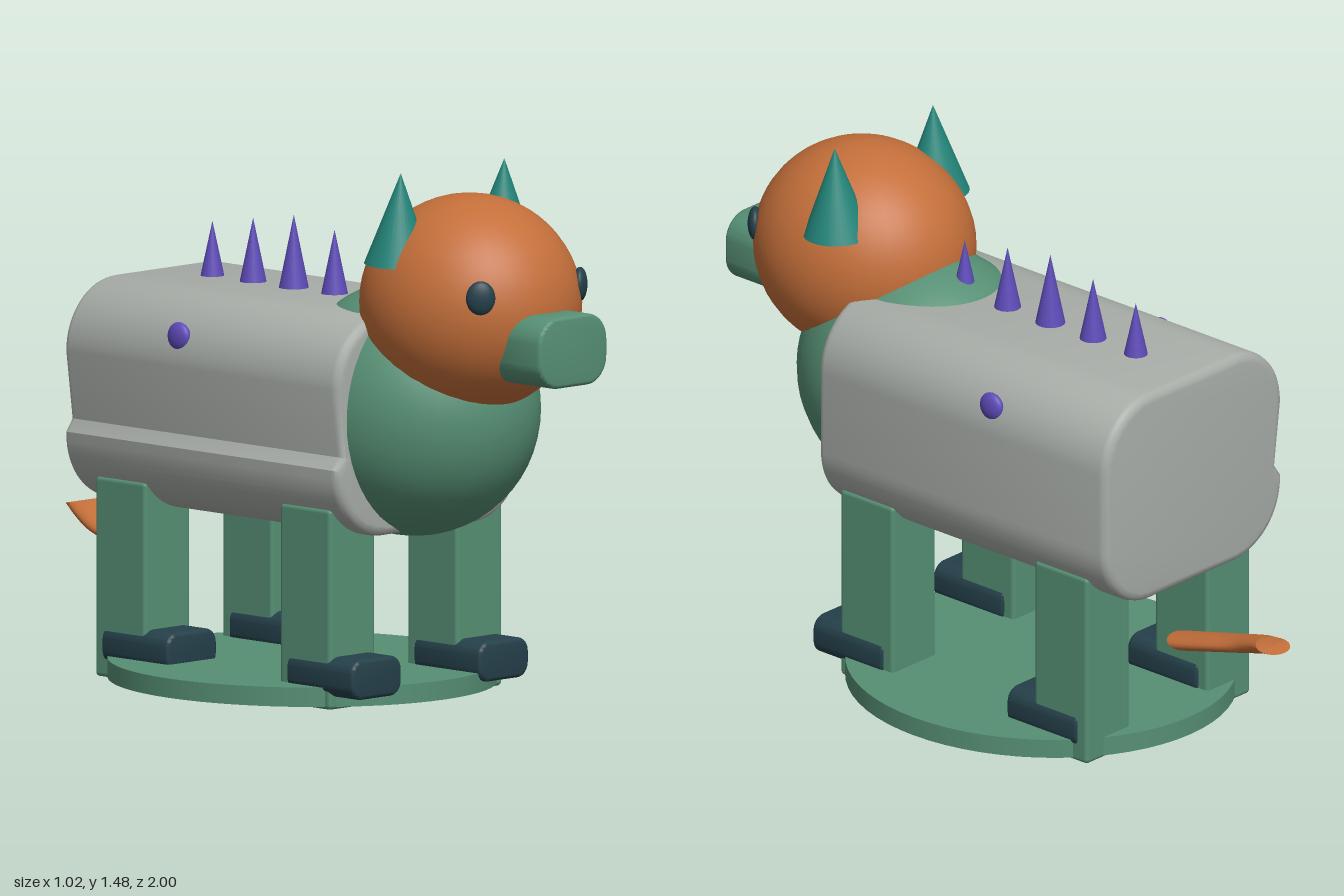
import * as THREE from 'three';
import { toCreasedNormals } from 'three/addons/utils/BufferGeometryUtils.js';
import { RoundedBoxGeometry } from 'three/addons/geometries/RoundedBoxGeometry.js';

const mat = (name, color) => {
  const m = new THREE.MeshStandardMaterial({ color });
  m.name = name;
  return m;
};

// Bevelled prism along z with a rounded-rectangle section, centred on the origin.
// notch = depth of a small groove low on the -x side.
function roundedPrism(w, h, d, r, bevel, notch = 0) {
  const x = w / 2 - bevel, y = h / 2 - bevel, c = r - bevel;
  const s = new THREE.Shape();
  s.moveTo(-x + c, -y);
  s.lineTo(x - c, -y);
  s.absarc(x - c, -y + c, c, -Math.PI / 2, 0);
  s.lineTo(x, y - c);
  s.absarc(x - c, y - c, c, 0, Math.PI / 2);
  s.lineTo(-x + c, y);
  s.absarc(-x + c, y - c, c, Math.PI / 2, Math.PI);
  if (notch) s.lineTo(-x + notch, -y + c + 0.035);
  s.lineTo(-x, -y + c);
  s.absarc(-x + c, -y + c, c, Math.PI, Math.PI * 1.5);
  const g = new THREE.ExtrudeGeometry(s, {
    depth: d - 2 * bevel, bevelEnabled: true, bevelSize: bevel,
    bevelThickness: bevel, bevelSegments: 3, curveSegments: 8,
  });
  g.translate(0, 0, -d / 2 + bevel);
  return toCreasedNormals(g, 0.6);
}

// Tail: slanted elliptical rings swept along a curve, closed at both ends
function tailGeometry() {
  const curve = new THREE.CatmullRomCurve3([
    [0, 0.28, -0.567], [0, 0.312, -0.69], [0.005, 0.345, -0.81],
    [0.03, 0.375, -0.89], [0.06, 0.398, -0.953],
  ].map((p) => new THREE.Vector3(...p)));
  const rings = 16, sides = 20, pos = [], idx = [];
  for (let i = 0; i <= rings; i++) {
    const t = i / rings, p = curve.getPoint(t), slope = 0.4 - 0.2 * t;
    for (let j = 0; j < sides; j++) {
      const a = (j / sides) * Math.PI * 2;
      const oz = Math.sin(a) * (0.036 + 0.006 * t);
      pos.push(p.x + Math.cos(a) * 0.052, p.y + oz * slope, p.z + oz);
    }
  }
  for (let i = 0; i < rings; i++) {
    for (let j = 0; j < sides; j++) {
      const a = i * sides + j, b = i * sides + ((j + 1) % sides);
      idx.push(a, a + sides, b, b, a + sides, b + sides);
    }
  }
  const last = rings * sides;
  for (let j = 1; j < sides - 1; j++) {
    idx.push(0, j, j + 1, last, last + j + 1, last + j);
  }
  const g = new THREE.BufferGeometry();
  g.setAttribute('position', new THREE.Float32BufferAttribute(pos, 3));
  g.setIndex(idx);
  return toCreasedNormals(g, 0.9);
}

export function createModel() {
  const model = new THREE.Group();
  model.name = 'animal';
  const grey = mat('body grey', 0xa8ada8);
  const green = mat('leg green', 0x568f74);
  const orange = mat('head orange', 0xc46f3a);
  const teal = mat('ear teal', 0x23857a);
  const purple = mat('spike purple', 0x5e4bb8);
  const dark = mat('foot dark', 0x25404a);
  orange.side = THREE.DoubleSide;

  const add = (name, geometry, material, x, y, z) => {
    const m = new THREE.Mesh(geometry, material);
    m.name = name;
    m.position.set(x, y, z);
    model.add(m);
    return m;
  };
  const ball = new THREE.SphereGeometry(1, 40, 28);
  const ellipsoid = (name, material, x, y, z, rx, ry, rz) => {
    const m = add(name, ball, material, x, y, z);
    m.scale.set(rx, ry, rz);
    return m;
  };

  // Oval base
  add('base', new THREE.CylinderGeometry(1, 1, 0.053, 64), green, 0, 0.0365, -0.046)
    .scale.set(0.512, 1, 0.549);

  // Body, chest and head
  add('body', roundedPrism(0.72, 0.61, 1.06, 0.19, 0.025, 0.025), grey, 0, 0.775, -0.08);
  ellipsoid('chest', green, 0, 0.8, 0.38, 0.33, 0.35, 0.365);
  ellipsoid('head', orange, 0, 1.112, 0.602, 0.293, 0.297, 0.313);
  add('snout', roundedPrism(0.26, 0.195, 0.2, 0.075, 0.01), green, 0, 1.017, 0.9);

  // Mirrored parts: eyes, ears, side spots, legs and feet
  const legGeometry = new RoundedBoxGeometry(0.175, 0.55, 0.195, 2, 0.012);
  const footGeometry = roundedPrism(0.19, 0.11, 0.257, 0.04, 0.01);
  const earGeometry = new THREE.ConeGeometry(0.093, 0.25, 28);
  for (const side of [1, -1]) {
    const label = side > 0 ? 'left' : 'right';
    ellipsoid(label + 'Eye', dark, side * 0.19, 1.165, 0.832, 0.04, 0.047, 0.02)
      .rotation.y = side * 0.7;
    add(label + 'Ear', earGeometry, teal, side * 0.198, 1.353, 0.527)
      .rotation.x = 0.04;
    ellipsoid(label + 'Spot', purple, side * 0.342, 0.97, -0.177, 0.02, 0.04, 0.04);
    for (const [end, z] of [['Front', 0.295], ['Back', -0.418]]) {
      add(label + end + 'Leg', legGeometry, green, side * 0.243, 0.277, z);
      add(label + end + 'Foot', footGeometry, dark, side * 0.243, 0.092, z + 0.064);
    }
  }

  // Row of spikes along the back, tallest in the middle
  for (let i = -2; i <= 2; i++) {
    const k = Math.abs(i), h = 0.23 - 0.025 * k;
    add('spike', new THREE.ConeGeometry(0.047 - 0.004 * k, h, 20), purple,
      0, 1.05 + h / 2, -0.08 - i * 0.157);
  }

  add('tail', tailGeometry(), orange, 0, 0, 0);
  return model;
}
